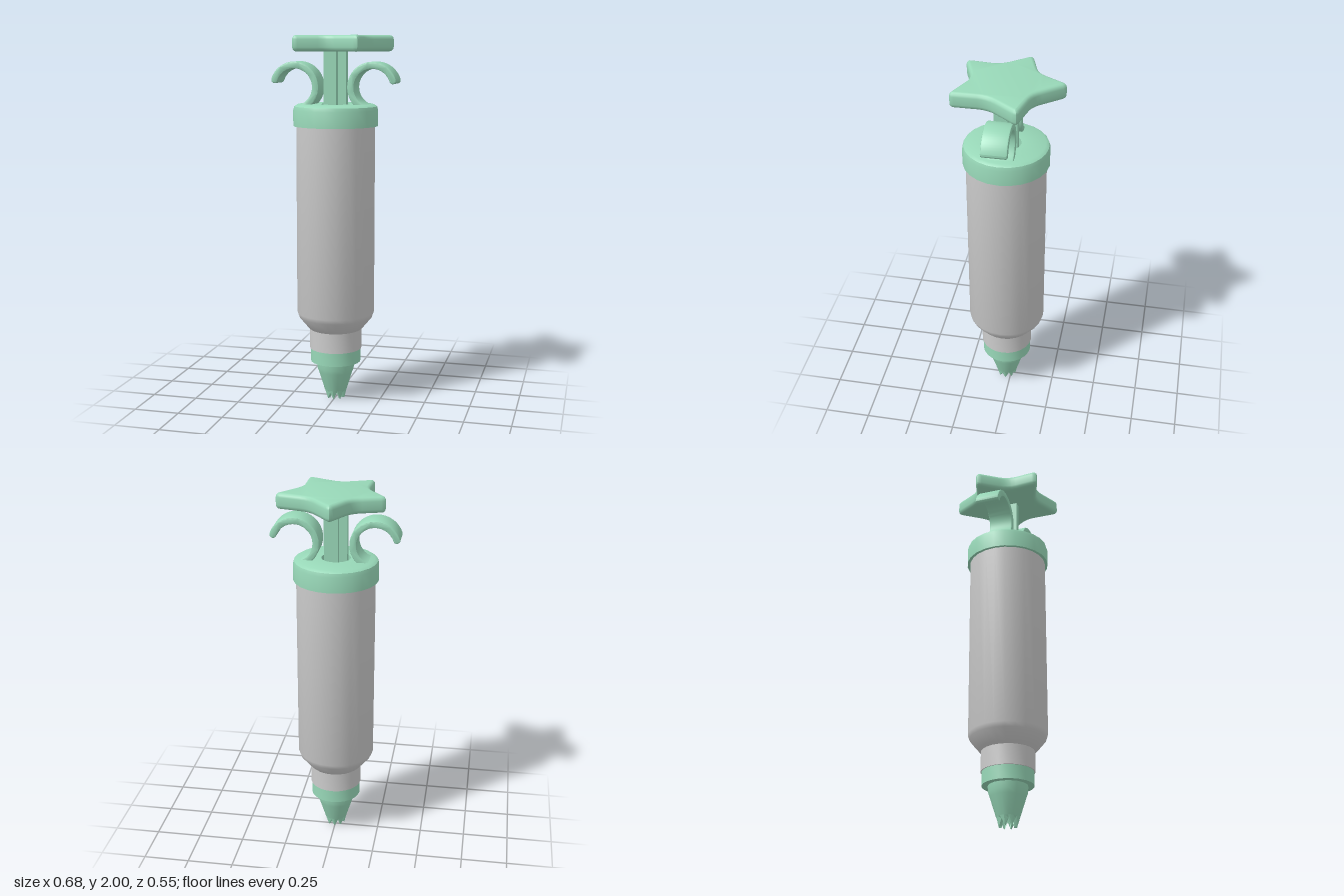
import * as THREE from 'three';
import { toCreasedNormals } from 'three/addons/utils/BufferGeometryUtils.js';

const green = new THREE.MeshStandardMaterial({ color: 0x98d8b8, side: THREE.DoubleSide });
const grey = new THREE.MeshStandardMaterial({ color: 0xcccccc });
const AXIS_Z = 0.025; // the barrel sits slightly in front of the plunger handle's centre

function part(name, geometry, material, crease = 0.6) {
  const mesh = new THREE.Mesh(toCreasedNormals(geometry, crease), material);
  mesh.name = name;
  return mesh;
}

function lathe(profile, segments = 24) {
  return new THREE.LatheGeometry(profile.map(([r, y]) => new THREE.Vector2(r, y)), segments);
}

// Closed outline with every corner rounded by a quadratic curve
function roundedOutline(corners, radii) {
  const shape = new THREE.Shape();
  const pts = corners.map(([x, z]) => new THREE.Vector2(x, -z));
  const n = pts.length;
  pts.forEach((p, i) => {
    const r = radii[i % radii.length];
    const toward = (q) => p.clone().add(q.clone().sub(p).setLength(r));
    const a = toward(pts[(i + n - 1) % n]);
    const b = toward(pts[(i + 1) % n]);
    if (i === 0) shape.moveTo(a.x, a.y);
    else shape.lineTo(a.x, a.y);
    shape.quadraticCurveTo(p.x, p.y, b.x, b.y);
  });
  shape.closePath();
  return shape;
}

// Soft five-pointed star, tips and valleys alternating
function starHandle() {
  const corners = [
    [-0.013, -0.29], [0.115, -0.128], [0.308, -0.082], [0.183, 0.085], [0.185, 0.285],
    [0, 0.2], [-0.178, 0.268], [-0.164, 0.085], [-0.28, -0.067], [-0.105, -0.122],
  ];
  const geometry = new THREE.ExtrudeGeometry(roundedOutline(corners, [0.036, 0.05]), {
    depth: 0.041, bevelThickness: 0.022, bevelSize: 0.02, bevelOffset: -0.02,
    bevelSegments: 3, curveSegments: 4,
  });
  geometry.rotateX(-Math.PI / 2).translate(0, 1.937, 0);
  return part('starHandle', geometry, green, 0.7);
}

// Curled finger grip: a band following an arc, with a rounded tip
function fingerGrip(name, side) {
  const inner = 0.106, outer = 0.127, bevel = 0.008;
  const tip = 0.33, root = 4.4, mid = (inner + outer) / 2;
  const shape = new THREE.Shape();
  shape.absarc(0, 0, outer, tip, root, false);
  shape.absarc(0, 0, inner, root, tip, true);
  shape.absarc(mid * Math.cos(tip), mid * Math.sin(tip), (outer - inner) / 2,
    tip + Math.PI, tip + 2 * Math.PI, false);
  const depth = 0.135 - 2 * bevel;
  const geometry = new THREE.ExtrudeGeometry(shape, {
    depth, bevelThickness: bevel, bevelSize: bevel, bevelSegments: 2, curveSegments: 20,
  });
  geometry.translate(0.213, 1.727, -depth / 2);
  if (side < 0) geometry.rotateY(Math.PI);
  return part(name, geometry, green);
}

// Thin-walled cone whose lower rim is cut into teeth
function nozzle() {
  const teeth = 8, profile = [
    [0.04, 0.06], [0.034, 0], [0.05, 0], [0.062, 0.05], [0.095, 0.155], [0.103, 0.178], [0.106, 0.225],
  ];
  profile[0] = [0.09, 0.2];
  const geometry = lathe(profile, teeth * 2);
  const pos = geometry.attributes.position;
  for (let i = 1; i < teeth * 2; i += 2) {
    for (const j of [1, 2]) pos.setY(i * profile.length + j, 0.038);
  }
  return part('nozzle', geometry, green);
}

export function createModel() {
  const model = new THREE.Group();
  model.name = 'starPlungerPress';
  const body = new THREE.Group();
  body.name = 'pressBody';
  body.position.z = AXIS_Z;
  model.add(body, starHandle());

  // Barrel with a tapered shoulder and neck
  body.add(part('barrel', lathe([
    [0, 0.29], [0.143, 0.29], [0.143, 0.4], [0.155, 0.412], [0.203, 0.47],
    [0.212, 0.495], [0.212, 1.54], [0, 1.54],
  ]), grey));

  // Cap with a rounded rim and a central well for the plunger
  body.add(part('cap', lathe([
    [0.2, 1.52], [0.228, 1.52], [0.228, 1.605], [0.222, 1.625], [0.205, 1.636],
    [0.078, 1.636], [0.078, 1.55], [0, 1.55],
  ]), green));

  // Collar holding the nozzle
  body.add(part('collar', lathe([
    [0.08, 0.215], [0.138, 0.215], [0.138, 0.302], [0, 0.302],
  ]), green));
  body.add(nozzle());

  // Cross-shaped plunger rod
  const rod = new THREE.Group();
  rod.name = 'plungerRod';
  for (const turn of [0, Math.PI / 2]) {
    const fin = part('plungerFin', new THREE.BoxGeometry(0.124, 0.4, 0.038), green);
    fin.position.y = 1.74;
    fin.rotation.y = turn;
    rod.add(fin);
  }
  body.add(rod);

  body.add(fingerGrip('leftFingerGrip', 1), fingerGrip('rightFingerGrip', -1));
  return model;
}
